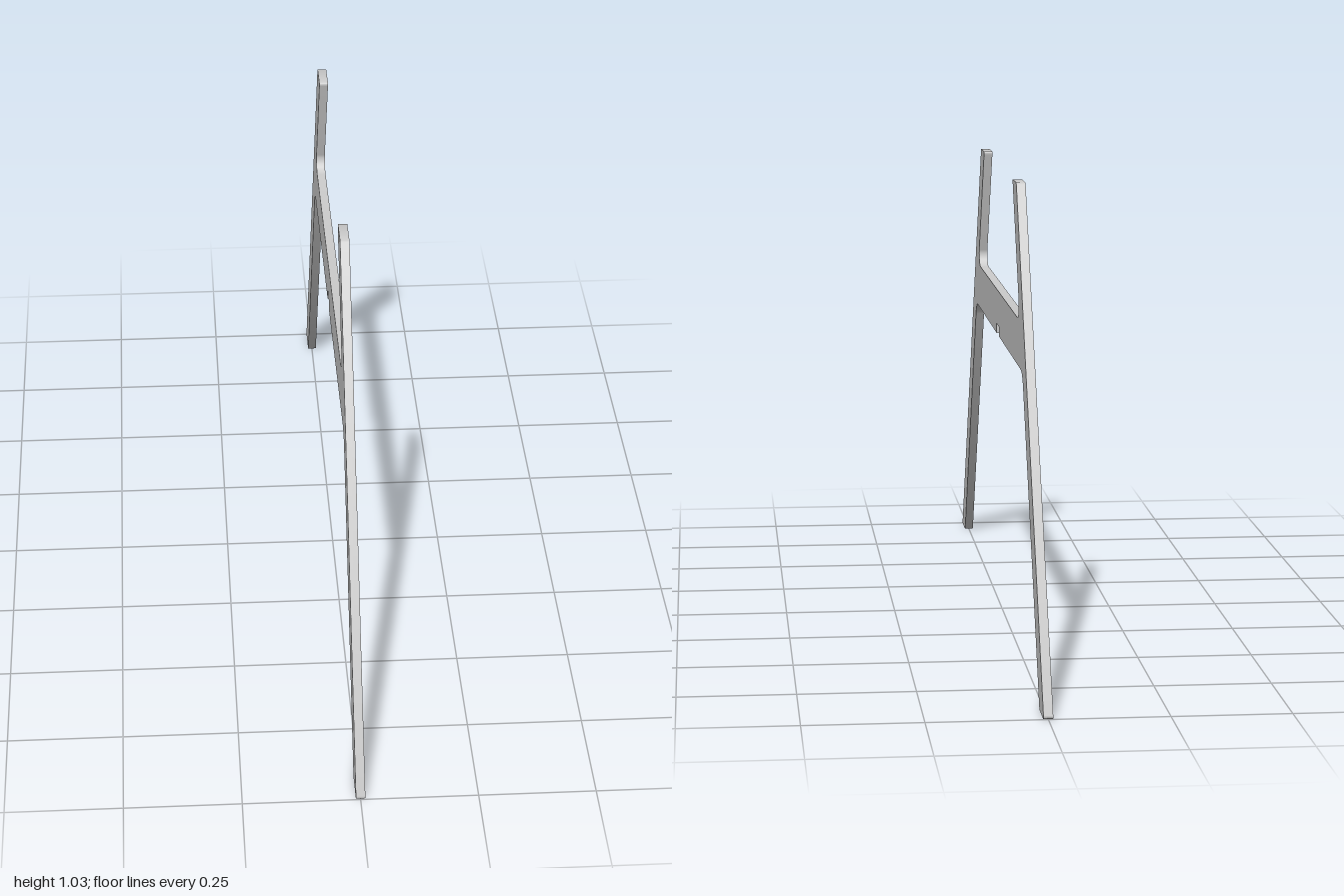
import * as THREE from 'three';
import { toCreasedNormals } from 'three/addons/utils/BufferGeometryUtils.js';

const THICKNESS = 0.02;

// Closed outline from [u, v, radius] corners, each rounded by a true arc
function roundedOutline(corners, steps = 8) {
  const pts = [];
  corners.forEach(([u, v, r], i) => {
    const p = new THREE.Vector2(u, v);
    if (!r) { pts.push(p); return; }
    const n = corners.length;
    const prev = corners[(i + n - 1) % n], next = corners[(i + 1) % n];
    const a = new THREE.Vector2(prev[0], prev[1]).sub(p).normalize();
    const b = new THREE.Vector2(next[0], next[1]).sub(p).normalize();
    const half = Math.acos(a.dot(b)) / 2;
    const centre = a.clone().add(b).normalize().multiplyScalar(r / Math.sin(half)).add(p);
    const tangent = r / Math.tan(half);
    const from = a.clone().multiplyScalar(tangent).add(p).sub(centre);
    const to = b.clone().multiplyScalar(tangent).add(p).sub(centre);
    const sweep = Math.atan2(from.cross(to), from.dot(to));
    for (let k = 0; k <= steps; k++) {
      pts.push(from.clone().rotateAround(new THREE.Vector2(), sweep * k / steps).add(centre));
    }
  });
  return new THREE.Shape(pts);
}

export function createModel() {
  const group = new THREE.Group();
  group.name = 'trestleFrame';

  // Half of the outline, from the notch under the crossbar round to its top
  const half = [
    [0.027, 0.665, 0],     // notch roof
    [0.027, 0.643, 0],     // notch mouth
    [0.564, 0.643, 0.06],  // crossbar underside meets leg
    [0.92, 0, 0.012],      // foot, inner
    [1.003, 0, 0.005],     // foot, outer
    [0.431, 1.033, 0.012], // upper arm tip, outer
    [0.348, 1.033, 0.005], // upper arm tip, inner
    [0.507, 0.745, 0.03],  // crossbar top meets arm
  ];
  const mirrored = half.map(([u, v, r]) => [-u, v, r]).reverse();
  const shape = roundedOutline([...half, ...mirrored]);

  // Flat plate standing in the z-y plane
  let geometry = new THREE.ExtrudeGeometry(shape, { depth: THICKNESS, bevelEnabled: false });
  geometry.translate(0, 0, -THICKNESS / 2);
  geometry.rotateY(-Math.PI / 2);
  geometry = toCreasedNormals(geometry, Math.PI / 6);

  const plate = new THREE.Mesh(geometry, new THREE.MeshStandardMaterial({ color: 0xcccccc }));
  plate.name = 'legPlate';
  group.add(plate);
  return group;
}
